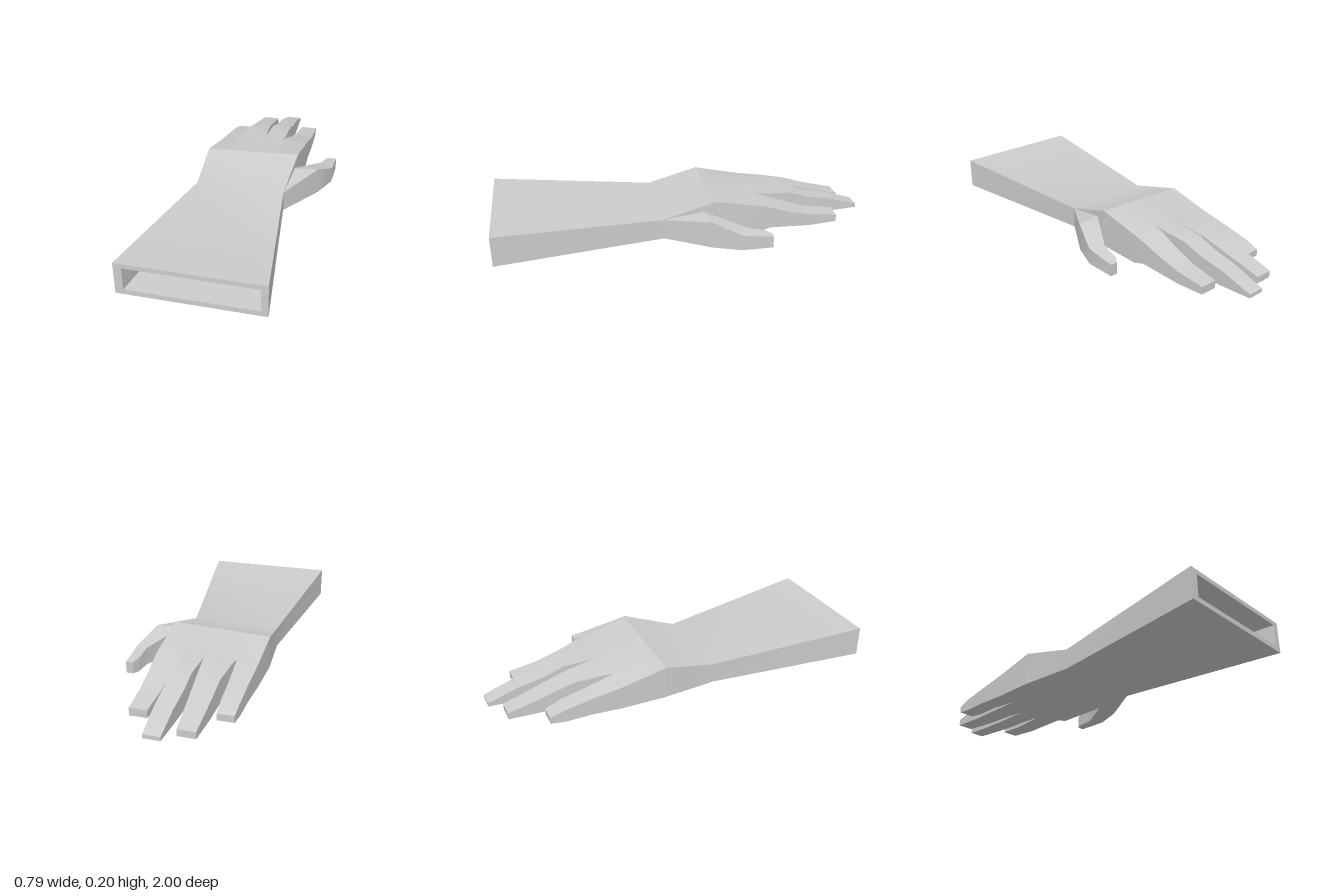
import * as THREE from 'three';
import { toCreasedNormals } from 'three/addons/utils/BufferGeometryUtils.js';

// Skins a row of four-cornered rings and caps both ends.
// Corner order in each ring: bottom left, bottom right, top right, top left.
function loft(rings, capEnd = true) {
  const position = rings.flat(2);
  const index = [0, 1, 2, 0, 2, 3];
  for (let i = 0; i < rings.length - 1; i++) {
    for (let j = 0; j < 4; j++) {
      const a = i * 4 + j, b = i * 4 + (j + 1) % 4;
      index.push(a, b + 4, b, a, a + 4, b + 4);
    }
  }
  const e = (rings.length - 1) * 4;
  if (capEnd) index.push(e, e + 2, e + 1, e, e + 3, e + 2);
  const geometry = new THREE.BufferGeometry();
  geometry.setAttribute('position', new THREE.Float32BufferAttribute(position, 3));
  geometry.setIndex(index);
  return toCreasedNormals(geometry, 0.45);
}

// Upright section at z; the top edge may slope from left to right.
const section = ([z, xl, xr, yb, ytl, ytr = ytl]) =>
  [[xl, yb, z], [xr, yb, z], [xr, ytr, z], [xl, ytl, z]];

export function createModel() {
  const group = new THREE.Group();
  group.name = 'hand';
  const grey = new THREE.MeshStandardMaterial({ color: 0xcccccc });
  grey.name = 'light grey';

  const add = (name, geometry) => {
    const mesh = new THREE.Mesh(geometry, grey);
    mesh.name = name;
    group.add(mesh);
  };

  // Hollow sleeve: cavity floor, opening, rim, wrist, then the back of the hand
  add('forearm', loft([
    [0.52, -0.295, 0.22, 0.025, 0.125],
    [1, -0.353, 0.277, 0.025, 0.14],
    [1, -0.393, 0.31, 0, 0.163],
    [0.13, -0.285, 0.19, 0, 0.11],
    [-0.15, -0.303, 0.212, 0, 0.177, 0.2],
  ].map(section), false));

  // Each finger starts as a strip of the palm
  const fingers = {
    littleFinger: [
      [-0.15, -0.303, -0.19, 0, 0.177, 0.182],
      [-0.39, -0.295, -0.19, 0, 0.125, 0.145],
      [-0.55, -0.288, -0.195, 0.008, 0.1, 0.11],
      [-0.68, -0.284, -0.194, 0.006, 0.075, 0.08],
      [-0.76, -0.28, -0.195, 0.015, 0.05],
    ],
    ringFinger: [
      [-0.15, -0.19, -0.035, 0, 0.182, 0.19],
      [-0.39, -0.19, -0.035, 0, 0.145, 0.162],
      [-0.45, -0.18, -0.035, 0.005, 0.145, 0.158],
      [-0.6, -0.165, -0.05, 0.01, 0.135, 0.14],
      [-0.75, -0.162, -0.057, 0.008, 0.095, 0.1],
      [-0.935, -0.155, -0.065, 0.015, 0.05],
    ],
    middleFinger: [
      [-0.15, -0.035, 0.08, 0, 0.19, 0.195],
      [-0.39, -0.035, 0.08, 0, 0.162, 0.163],
      [-0.45, -0.033, 0.082, 0.01, 0.158, 0.16],
      [-0.6, -0.026, 0.081, 0.015, 0.152],
      [-0.7, -0.023, 0.078, 0.012, 0.117],
      [-0.84, -0.019, 0.074, 0.013, 0.09],
      [-1, -0.015, 0.07, 0.02, 0.04],
    ],
    indexFinger: [
      [-0.15, 0.08, 0.212, 0, 0.195, 0.2],
      [-0.39, 0.08, 0.216, 0, 0.163, 0.155],
      [-0.45, 0.085, 0.215, 0.02, 0.15, 0.14],
      [-0.55, 0.096, 0.212, 0.015, 0.115, 0.105],
      [-0.68, 0.104, 0.208, 0.008, 0.075, 0.072],
      [-0.83, 0.113, 0.203, 0.015, 0.055],
    ],
  };
  for (const [name, rows] of Object.entries(fingers)) add(name, loft(rows.map(section)));

  // Thumb rows: inner x, z, outer x, z, inner top, outer top
  add('thumb', loft([
    [0.15, 0.0, 0.19, 0.125, 0.11, 0.11],
    [0.2, -0.085, 0.335, -0.105, 0.147, 0.147],
    [0.325, -0.29, 0.392, -0.25, 0.095, 0.088],
    [0.337, -0.385, 0.393, -0.35, 0.075, 0.072],
    [0.355, -0.415, 0.393, -0.415, 0.065, 0.065],
  ].map(([xi, zi, xo, zo, yi, yo]) =>
    [[xi, 0.002, zi], [xo, 0.002, zo], [xo, yo, zo], [xi, yi, zi]])));

  return group;
}
